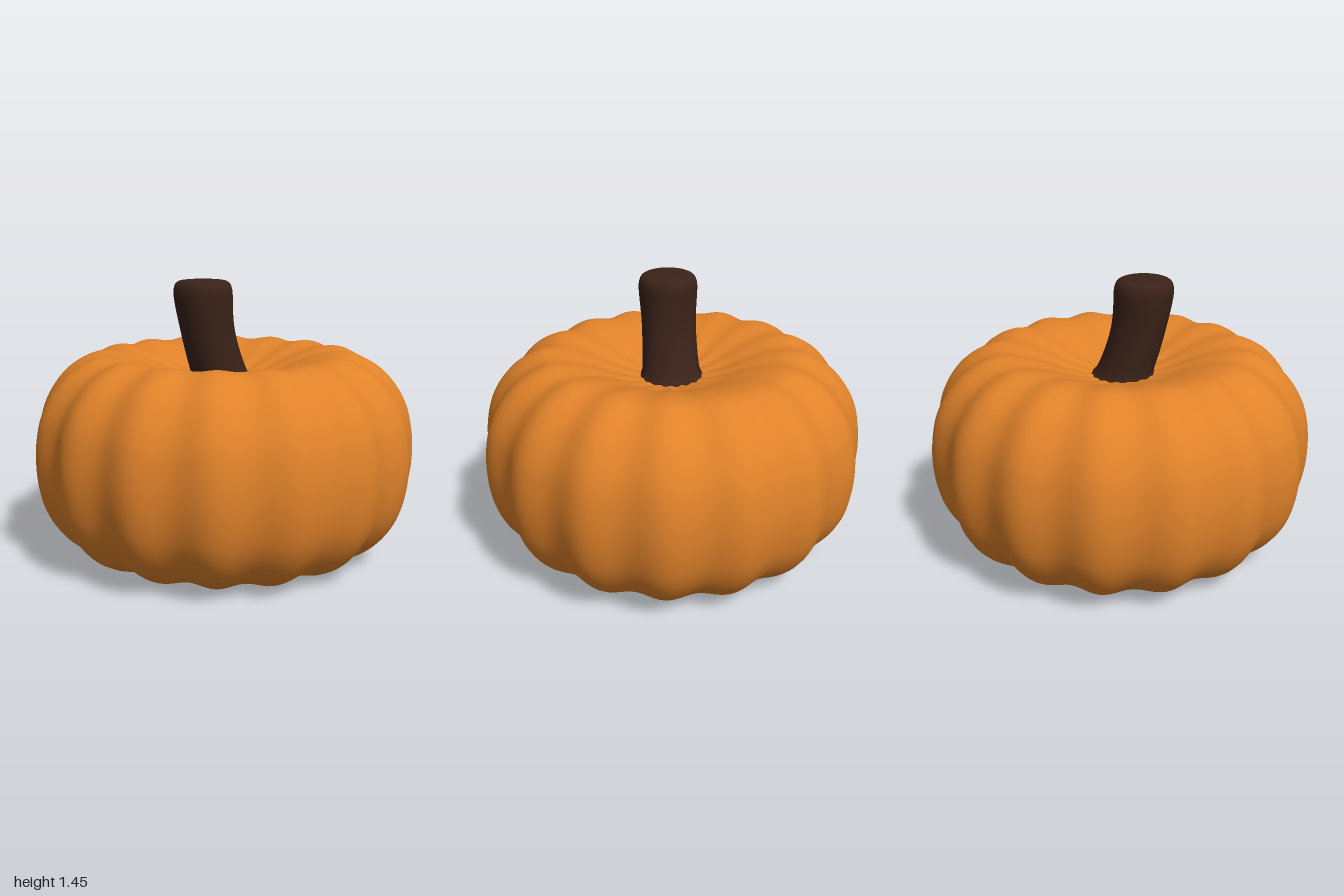
import * as THREE from 'three';
import { mergeVertices } from 'three/addons/utils/BufferGeometryUtils.js';

const RIBS = 16;
const MID = 0.533; // height of the body's widest ring

// Smooth curve through [radius, height] points
const smooth = (pts, n) =>
  new THREE.SplineCurve(pts.map(([r, y]) => new THREE.Vector2(r, y))).getPoints(n);

// Lathe a profile, move every vertex by a rule, and weld the seam for smooth normals
function sculpt(profile, segments, rule) {
  let geo = new THREE.LatheGeometry(profile, segments);
  geo.deleteAttribute('uv');
  geo.deleteAttribute('normal');
  const pos = geo.attributes.position;
  const v = new THREE.Vector3();
  for (let i = 0; i < pos.count; i++) {
    v.fromBufferAttribute(pos, i);
    rule(v, Math.hypot(v.x, v.z), Math.atan2(v.x, v.z));
    pos.setXYZ(i, v.x, v.y, v.z);
  }
  geo = mergeVertices(geo, 1e-5);
  geo.computeVertexNormals();
  return geo;
}

function part(name, geometry, color) {
  const mesh = new THREE.Mesh(geometry, new THREE.MeshStandardMaterial({ color }));
  mesh.name = name;
  return mesh;
}

export function createModel() {
  const group = new THREE.Group();
  group.name = 'pumpkin';

  // Body: a squat profile, mirrored about its middle, with a dimple at each end
  const upper = [[0.99, 0.66], [0.96, 0.78], [0.9, 0.89], [0.81, 0.985], [0.68, 1.053],
    [0.56, 1.053], [0.42, 1.015], [0.28, 0.96], [0.15, 0.925]];
  const lower = upper.map(([r, y]) => [r, 2 * MID - y]).reverse();
  const skin = smooth([...lower, [1, MID], ...upper], 72);
  const profile = [new THREE.Vector2(0, skin[0].y), ...skin,
    new THREE.Vector2(0, skin[skin.length - 1].y)];

  // Ribs swell the radius and lift the shoulders; they fade out at the poles
  const body = sculpt(profile, RIBS * 10, (v, r, a) => {
    const wave = -Math.cos(RIBS * a);
    const fade = Math.min(1, r / 0.3);
    const swell = 1 + 0.02 * wave * fade;
    v.x *= swell;
    v.z *= swell;
    v.y = MID + (v.y - MID) * (1 + 0.014 * wave * fade);
  });
  group.add(part('body', body, 0xe0822a));

  // Stem: flared foot, rounded top edge, leaning towards -x as it rises
  const stemProfile = [
    new THREE.Vector2(0, 0.88),
    ...smooth([[0.18, 0.88], [0.166, 0.925], [0.153, 0.96], [0.146, 1.06], [0.144, 1.2],
      [0.152, 1.33], [0.154, 1.39], [0.144, 1.428], [0.122, 1.445], [0.09, 1.45]], 40),
    new THREE.Vector2(0, 1.45),
  ];
  const stem = sculpt(stemProfile, 64, (v, r, a) => {
    const foot = Math.max(0, (0.97 - v.y) / 0.09);
    const scallop = 1 + 0.02 * foot * Math.cos(RIBS * a);
    const t = (1.45 - v.y) / 0.53;
    v.x = v.x * scallop - 0.13 + 0.115 * t * t;
    v.z *= scallop;
  });
  group.add(part('stem', stem, 0x3a2219));

  return group;
}
